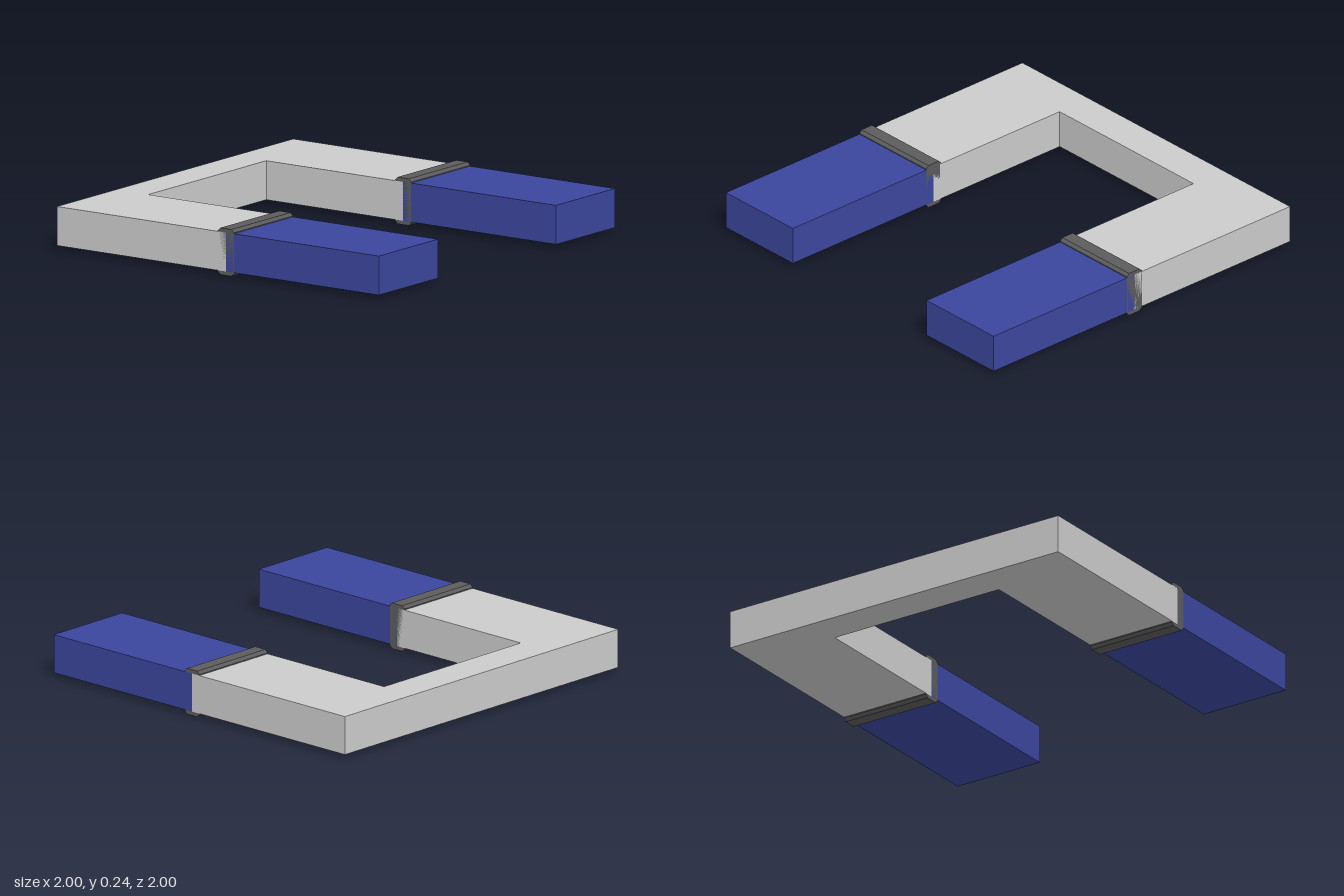
import * as THREE from 'three';

const material = (color) => new THREE.MeshStandardMaterial({ color, flatShading: true });
const polygon = (points) => new THREE.Shape(points.map(([x, y]) => new THREE.Vector2(x, y)));
const extrude = (points, depth) =>
  new THREE.ExtrudeGeometry(polygon(points), { depth, bevelEnabled: false });

export function createModel() {
  const model = new THREE.Group();
  const grey = material(0xcccccc);
  const blue = material(0x3b469d);
  const dark = material(0x5c5c5c);

  const add = (name, geometry, mat, x, y, z) => {
    const mesh = new THREE.Mesh(geometry, mat);
    mesh.name = name;
    mesh.position.set(x, y, z);
    model.add(mesh);
  };

  // U-shaped yoke: thin back bar with two wide arms (drawn in x, -z)
  const yoke = extrude([
    [-1, -0.05], [-0.5, -0.05], [-0.5, 0.8], [0.5, 0.8],
    [0.5, -0.05], [1, -0.05], [1, 1], [-1, 1],
  ], 0.2).rotateX(-Math.PI / 2);
  add('yoke', yoke, grey, 0, 0.02, 0);

  // Chamfered collar profile (depth, height), run across the arm
  const w = 0.05, h = 0.12, c = 0.015;
  const collar = extrude([
    [-w + c, -h], [w - c, -h], [w, -h + c], [w, h - c],
    [w - c, h], [-w + c, h], [-w, h - c], [-w, -h + c],
  ], 0.5).translate(0, 0, -0.25).rotateY(Math.PI / 2);

  const tip = new THREE.BoxGeometry(0.5, 0.2, 0.95);

  // Coloured arm tips and the collars that cover their joints
  for (const [side, x] of [['left', 0.75], ['right', -0.75]]) {
    add(`${side}ArmTip`, tip, blue, x, 0.12, 0.525);
    add(`${side}Collar`, collar, dark, x, 0.12, 0.05);
  }
  return model;
}
